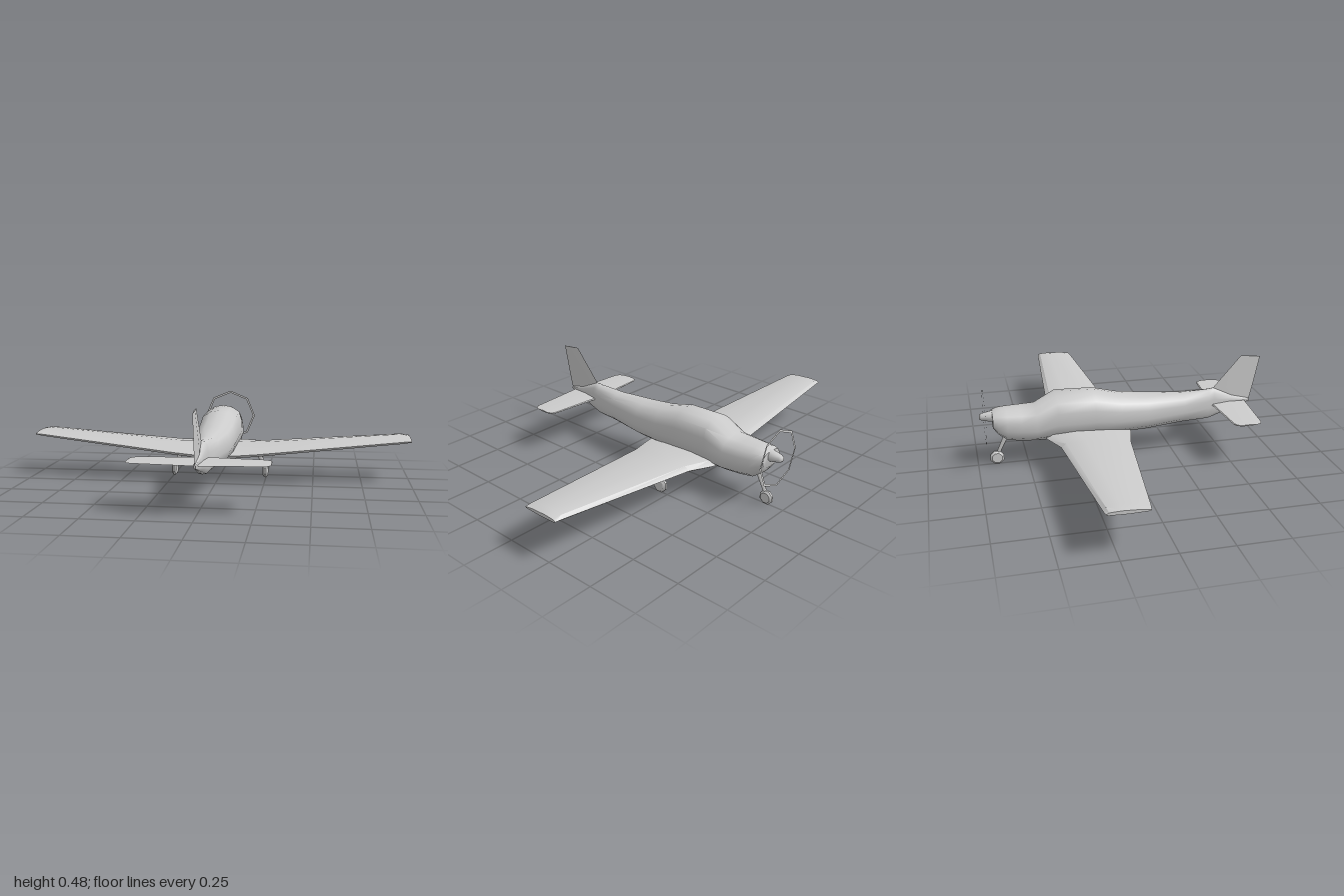
import * as THREE from 'three';
import { toCreasedNormals } from 'three/addons/utils/BufferGeometryUtils.js';

const material = new THREE.MeshStandardMaterial({ color: 0xcccccc });
const thinMaterial = new THREE.MeshStandardMaterial({ color: 0xcccccc, side: THREE.DoubleSide });

// Skin a closed surface over rings of [x, y, z] points that turn counterclockwise about the loft axis
function loft(rings, crease) {
  const n = rings[0].length;
  const pos = rings.flat(2);
  const index = [];
  for (let i = 0; i < rings.length - 1; i++) {
    for (let j = 0; j < n; j++) {
      const a = i * n + j, b = i * n + (j + 1) % n;
      index.push(a, b, a + n, b, b + n, a + n);
    }
  }
  const last = (rings.length - 1) * n;
  for (let j = 1; j < n - 1; j++) {
    index.push(0, j + 1, j, last, last + j, last + j + 1);
  }
  const g = new THREE.BufferGeometry();
  g.setAttribute('position', new THREE.Float32BufferAttribute(pos, 3));
  g.setIndex(index);
  return toCreasedNormals(g, crease);
}

// Wing-like surface through stations [x, leading z, trailing z, bottom y, top y], mirrored to -x
function panel(stations, profile, crease) {
  const inner = stations.filter((s) => s[0] > 0).reverse().map(([x, ...r]) => [-x, ...r]);
  return loft([...inner, ...stations].map(([x, z0, z1, y0, y1]) =>
    profile.map(([c, h]) => [x, y0 + (y1 - y0) * h, z0 + (z1 - z0) * c])), crease);
}

function strut(from, to, r0, r1) {
  const a = new THREE.Vector3(...from), b = new THREE.Vector3(...to);
  const g = new THREE.CylinderGeometry(r1, r0, a.distanceTo(b), 6);
  const q = new THREE.Quaternion().setFromUnitVectors(
    new THREE.Vector3(0, 1, 0), b.clone().sub(a).normalize());
  g.applyQuaternion(q);
  const m = a.add(b).multiplyScalar(0.5);
  return g.translate(m.x, m.y, m.z);
}

// Eight-sided tyre with bevelled shoulders, axle along x
function wheel(r, w) {
  const pts = [[0, -w], [r * 0.72, -w], [r, -w * 0.4], [r, w * 0.4], [r * 0.72, w], [0, w]];
  const g = new THREE.LatheGeometry(pts.map((p) => new THREE.Vector2(...p)), 8, Math.PI / 8);
  return toCreasedNormals(g.rotateZ(Math.PI / 2), 0.6);
}

export function createModel() {
  const model = new THREE.Group();
  model.name = 'airplane';
  const add = (name, geometry, parent = model, mat = material) => {
    const m = new THREE.Mesh(geometry, mat);
    m.name = name;
    parent.add(m);
    return m;
  };

  // Fuselage stations, tail to nose: [z, top, bottom, half width]
  const half = [[0, 1], [0.45, 0.93], [0.84, 0.7], [0.97, 0.3], [1, -0.2], [0.88, -0.65], [0.5, -0.95], [0, -1]];
  const outline = [...half, ...half.slice(1, -1).reverse().map(([x, y]) => [-x, y])];
  const stations = [
    [0.68, 0.235, 0.22, 0.004], [0.58, 0.265, 0.188, 0.018], [0.48, 0.31, 0.155, 0.032],
    [0.45, 0.306, 0.146, 0.037], [0.31, 0.3, 0.146, 0.062], [0.11, 0.312, 0.132, 0.092],
    [-0.03, 0.328, 0.128, 0.1], [-0.16, 0.36, 0.126, 0.104], [-0.35, 0.365, 0.125, 0.105],
    [-0.455, 0.305, 0.127, 0.102], [-0.53, 0.303, 0.131, 0.095], [-0.6, 0.302, 0.14, 0.085],
    [-0.642, 0.298, 0.172, 0.077], [-0.668, 0.288, 0.208, 0.066],
  ];
  add('fuselage', loft(stations.map(([z, top, bot, w]) => outline.map(([x, y]) =>
    [x * w, (top + bot) / 2 + y * (top - bot) / 2, z])), 0.85));

  // Main wing with dihedral, broad root fillets and bevelled tips
  const airfoil = [[0.35, 1], [0.75, 0.8], [1, 0.4], [0.97, 0.12], [0.5, 0], [0.06, 0.15], [0, 0.45], [0.07, 0.85]];
  add('wing', panel([
    [0, -0.43, 0.03, 0.13, 0.175], [0.1, -0.41, 0.015, 0.13, 0.18], [0.22, -0.36, -0.015, 0.137, 0.182],
    [0.96, -0.313, -0.113, 0.206, 0.24], [1, -0.308, -0.12, 0.214, 0.232],
  ], airfoil, 0.6));

  // Tailplane with clipped corners
  const slab = [[0.5, 1], [1, 0.5], [0.5, 0], [0.03, 0.2], [0, 0.5], [0.03, 0.8]];
  add('tailplane', panel([
    [0, 0.463, 0.655, 0.219, 0.234], [0.295, 0.487, 0.632, 0.221, 0.232],
    [0.314, 0.497, 0.622, 0.222, 0.231], [0.324, 0.52, 0.6, 0.223, 0.23],
  ], slab, 0.5));

  // Swept fin: [front y, front z, back y, back z, half thickness]
  add('fin', loft([[0.225, 0.46, 0.225, 0.68, 0.007], [0.305, 0.475, 0.305, 0.698, 0.006],
    [0.476, 0.625, 0.465, 0.73, 0.003]].map(([y0, z0, y1, z1, t]) =>
    [[0, y1, z1], [t, (y0 + y1) / 2, (z0 + z1) / 2], [0, y0, z0], [-t, (y0 + y1) / 2, (z0 + z1) / 2]]), 0.5));

  // Spinner and the thin ring around it
  const nose = [[0, 0.07], [0.012, 0.07], [0.019, 0.058], [0.027, 0.02], [0.03, 0]];
  const spinner = add('spinner', new THREE.LatheGeometry(
    nose.reverse().map((p) => new THREE.Vector2(...p)), 10).rotateX(-Math.PI / 2));
  spinner.position.set(0, 0.262, -0.66);
  const ring = add('propellerRing', new THREE.RingGeometry(0.134, 0.146, 8, 1), model, thinMaterial);
  ring.position.set(0, 0.26, -0.705);

  // Landing gear
  for (const side of [1, -1]) {
    const gear = new THREE.Group();
    gear.name = side > 0 ? 'leftMainGear' : 'rightMainGear';
    model.add(gear);
    add('strut', strut([side * 0.242, 0.06, -0.2], [side * 0.195, 0.155, -0.2], 0.011, 0.015), gear);
    add('wheel', wheel(0.043, 0.014), gear).position.set(side * 0.246, 0.04, -0.2);
  }
  const noseGear = new THREE.Group();
  noseGear.name = 'noseGear';
  model.add(noseGear);
  add('strut', strut([0, 0.055, -0.65], [0, 0.16, -0.6], 0.009, 0.013), noseGear);
  add('wheel', wheel(0.037, 0.014), noseGear).position.set(0, 0.036, -0.655);
  return model;
}
